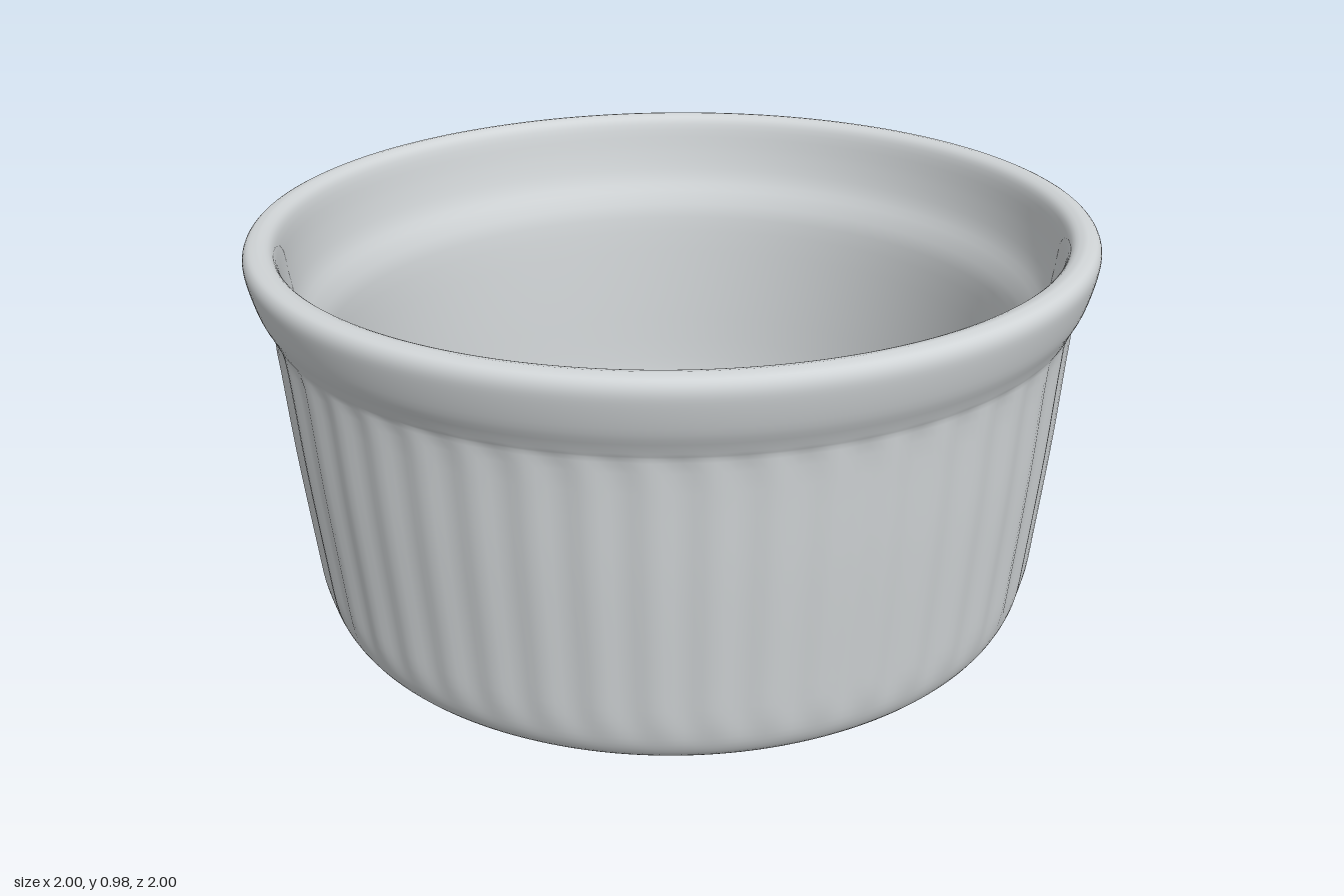
import * as THREE from 'three';
import { mergeVertices } from 'three/addons/utils/BufferGeometryUtils.js';

const BASE_RADIUS = 0.8;
const FLUTES = 48;
const FLUTE_DEPTH = 0.009;

const spline = (points, count) =>
  new THREE.SplineCurve(points.map(([r, y]) => new THREE.Vector2(r, y))).getPoints(count);

// Corner points of a square lying in the underside
const TURN = THREE.MathUtils.degToRad(17);
const squareCorners = (radius) =>
  [0, 1, 2, 3].map((i) => {
    const a = TURN + (i * Math.PI) / 2;
    return new THREE.Vector2(Math.cos(a) * radius, Math.sin(a) * radius);
  });

// Outer wall, rolled rim, inner wall and floor as one smooth lathe
function bowlGeometry() {
  const outer = spline([
    [BASE_RADIUS, 0], [0.835, 0.012], [0.868, 0.045], [0.888, 0.11], [0.903, 0.25], [0.926, 0.5],
    [0.943, 0.74], [0.955, 0.79], [0.978, 0.84], [0.994, 0.9], [0.997, 0.935], [0.985, 0.956],
    [0.96, 0.962],
  ], 48);
  const inner = spline([
    [0.96, 0.962], [0.937, 0.955], [0.922, 0.93], [0.908, 0.86], [0.888, 0.79], [0.855, 0.73],
    [0.835, 0.66], [0.815, 0.45], [0.8, 0.25], [0.785, 0.18], [0.745, 0.14], [0.68, 0.13],
  ], 36);
  const profile = [...outer, ...inner.slice(1), new THREE.Vector2(0.35, 0.13), new THREE.Vector2(0, 0.13)];
  let geo = new THREE.LatheGeometry(profile, FLUTES * 6);

  // Shallow vertical flutes between the foot and the rim
  const pos = geo.attributes.position;
  for (let i = 0; i < pos.count; i++) {
    if (i % profile.length >= outer.length) continue;
    const x = pos.getX(i), y = pos.getY(i), z = pos.getZ(i);
    const fade = THREE.MathUtils.smoothstep(y, 0.06, 0.16) * (1 - THREE.MathUtils.smoothstep(y, 0.74, 0.79));
    const wave = Math.cos(Math.atan2(x, z) * FLUTES);
    const k = 1 + (FLUTE_DEPTH / 2) * fade * wave;
    pos.setXYZ(i, x * k, y, z * k);
  }
  geo.deleteAttribute('uv');
  geo.deleteAttribute('normal');
  geo = mergeVertices(geo, 1e-5);
  geo.computeVertexNormals();
  return geo;
}

export function createModel() {
  const glaze = new THREE.MeshStandardMaterial({ color: 0xd0d4d6 });
  glaze.name = 'pale grey glaze';
  const model = new THREE.Group();
  model.name = 'ramekin';
  const dish = new THREE.Group();
  dish.name = 'dish';
  model.add(dish);

  const add = (name, geometry) => {
    const mesh = new THREE.Mesh(geometry, glaze);
    mesh.name = name;
    dish.add(mesh);
    return mesh;
  };

  add('bowl', bowlGeometry());

  // Flat underside with a square opening
  const mouth = 0.67, roof = 0.63, depth = 0.045;
  const disc = new THREE.Shape().absarc(0, 0, BASE_RADIUS, 0, Math.PI * 2);
  disc.holes.push(new THREE.Path(squareCorners(mouth)));
  add('underside', new THREE.ShapeGeometry(disc, 96).rotateX(Math.PI / 2));

  // Sloping walls of the square recess, mirrored so they face inward
  const walls = new THREE.CylinderGeometry(roof, mouth, depth, 4, 1, true, TURN)
    .scale(-1, 1, 1).translate(0, depth / 2, 0).toNonIndexed();
  walls.computeVertexNormals();
  add('recessWalls', walls);

  const ceiling = new THREE.ShapeGeometry(new THREE.Shape(squareCorners(roof))).rotateX(Math.PI / 2);
  add('recessCeiling', ceiling).position.y = depth;

  // The dish sits very slightly askew
  dish.rotation.z = 0.009;
  dish.position.set(0.006, 0.008, 0);
  return model;
}
